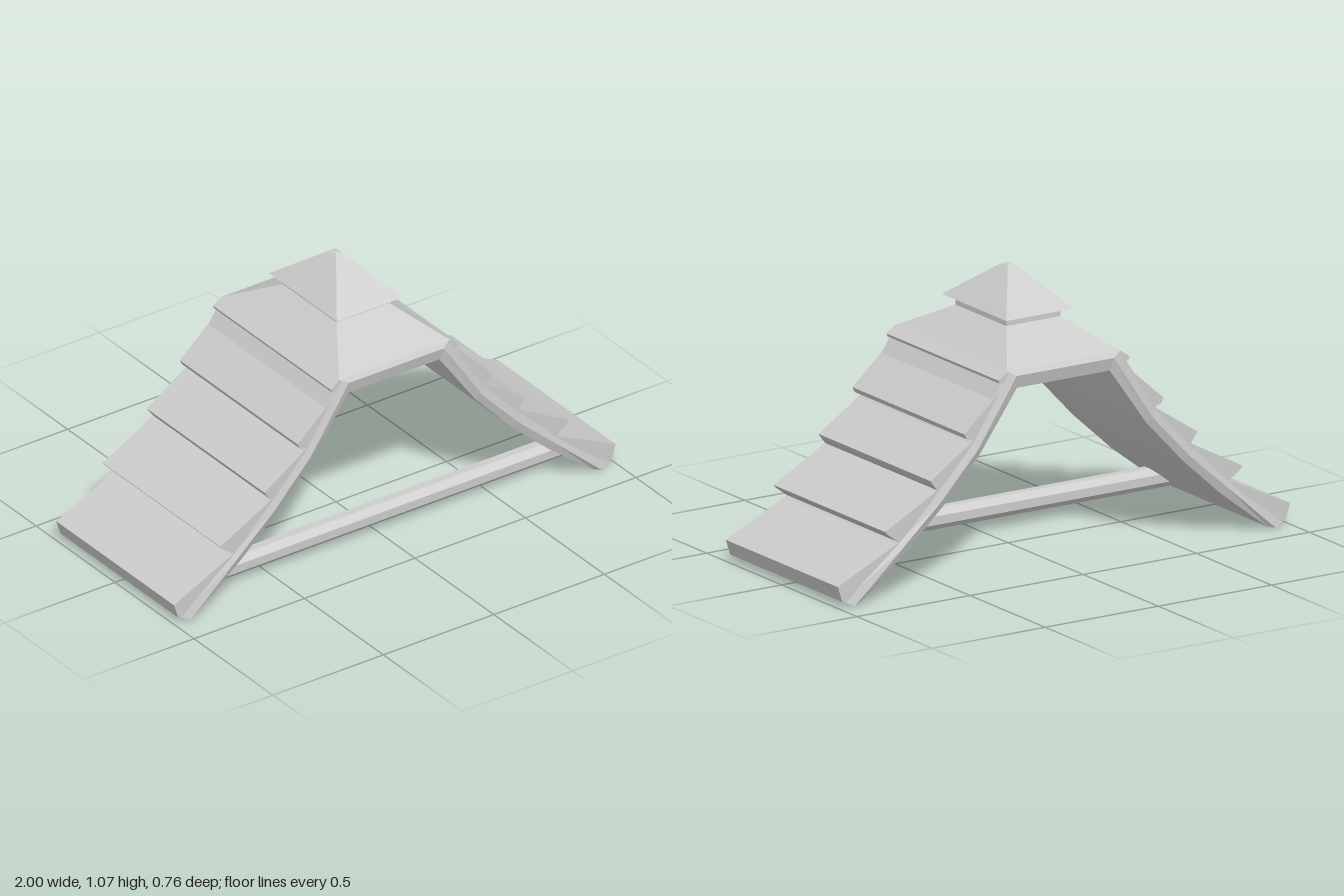
import * as THREE from 'three';

const material = new THREE.MeshStandardMaterial({ color: 0xcccccc, flatShading: true });

function part(name, geometry) {
  const mesh = new THREE.Mesh(geometry, material);
  mesh.name = name;
  return mesh;
}

// Skins a row of equal rings (counter-clockwise about the travel direction) and caps both ends.
function loft(rings) {
  const pos = [];
  const tri = (a, b, c) => pos.push(...a, ...b, ...c);
  const n = rings[0].length;
  for (let r = 0; r < rings.length - 1; r++) {
    const a = rings[r], b = rings[r + 1];
    for (let i = 0; i < n; i++) {
      const j = (i + 1) % n;
      tri(a[i], a[j], b[j]);
      tri(a[i], b[j], b[i]);
    }
  }
  const first = rings[0], last = rings[rings.length - 1];
  for (let i = 1; i < n - 1; i++) {
    tri(first[0], first[i + 1], first[i]);
    tri(last[0], last[i], last[i + 1]);
  }
  const g = new THREE.BufferGeometry();
  g.setAttribute('position', new THREE.Float32BufferAttribute(pos, 3));
  g.computeVertexNormals();
  return g;
}

// Stacked rectangles given as [y, half width, half depth]
const stack = (levels) => loft(levels.map(([y, x, z]) =>
  [[x, y, z], [x, y, -z], [-x, y, -z], [-x, y, z]]));

const mirror = (points) => points.map(([x, y]) => [-x, y]).reverse();

export function createModel() {
  const group = new THREE.Group();

  // Arched shell: inner, ridge and outer lines from the crown to the foot
  const inner = [[0.205, 0.72], [0.37, 0.49], [0.53, 0.32], [0.70, 0.165], [0.90, 0.01]];
  const ridge = [[0.215, 0.77], [0.39, 0.51], [0.55, 0.34], [0.725, 0.185], [0.93, 0.003]];
  const outer = [[0.25, 0.79], [0.405, 0.55], [0.56, 0.385], [0.735, 0.213], [0.975, 0.025]];
  const [ins, rid, out] = [inner, ridge, outer].map((l) => [...mirror(l), ...l]);
  group.add(part('archShell', loft(ins.map((p, i) => [
    [...out[i], 0.37], [...rid[i], 0.382], [...p, 0.368],
    [...p, -0.368], [...rid[i], -0.382], [...out[i], -0.37],
  ]))));

  // Overlapping stepped roof courses on both slopes
  const steps = [
    [0.25, 0.79], [0.29, 0.762], [0.285, 0.75], [0.257, 0.742],
    [0.44, 0.58], [0.43, 0.56], [0.40, 0.55],
    [0.59, 0.425], [0.58, 0.41], [0.56, 0.385],
    [0.79, 0.262], [0.78, 0.25], [0.73, 0.213],
    [1.0, 0.085], [0.98, 0.025], [0.93, 0.003],
  ];
  const half = [...steps, ...ridge.slice(0, 4).reverse()];
  for (const side of [1, -1]) {
    const shape = new THREE.Shape(half.map(([x, y]) => new THREE.Vector2(x * side, y)));
    const g = new THREE.ExtrudeGeometry(shape, { depth: 0.746, bevelEnabled: false });
    g.translate(0, 0, -0.373);
    group.add(part(side > 0 ? 'leftRoofCourses' : 'rightRoofCourses', g));
  }

  // Hipped crown, neck and pointed cap
  group.add(part('hippedCrown', stack([[0.78, 0.25, 0.37], [0.79, 0.25, 0.37], [0.895, 0.12, 0.17]])));
  group.add(part('capNeck', stack([[0.88, 0.12, 0.17], [0.925, 0.12, 0.17]])));
  group.add(part('pointedCap', stack([
    [0.92, 0.12, 0.17], [0.93, 0.15, 0.215], [1.062, 0.026, 0.037],
    [1.074, 0.013, 0.019], [1.078, 0.004, 0.006],
  ])));

  // Octagonal tie bar between the feet
  const bar = new THREE.CylinderGeometry(0.0433, 0.0433, 1.76, 8);
  bar.rotateY(Math.PI / 8).rotateZ(Math.PI / 2).translate(0, 0.07, 0.235);
  group.add(part('tieBar', bar));

  return group;
}
